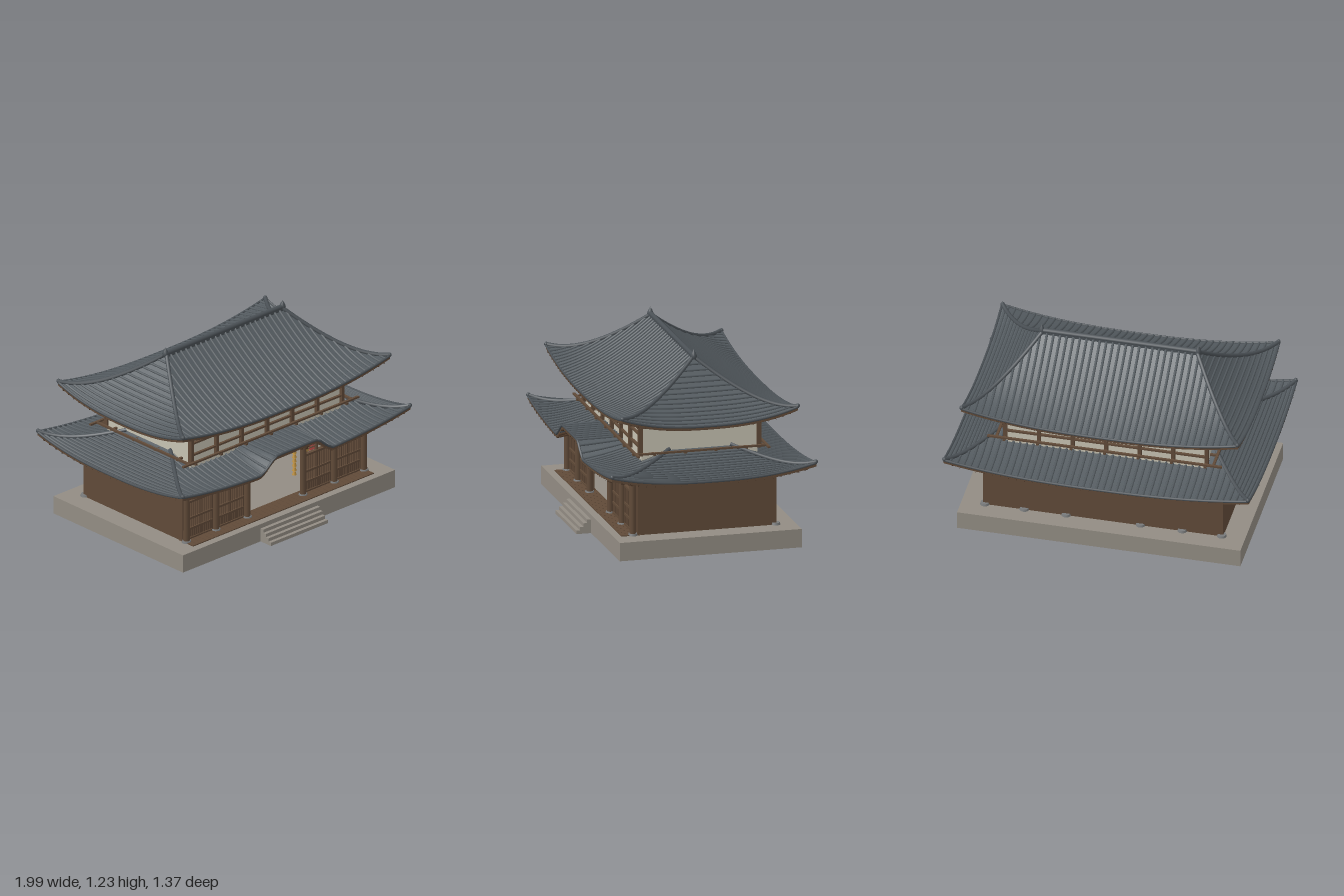
import * as THREE from 'three';
import { mergeGeometries } from 'three/addons/utils/BufferGeometryUtils.js';

const mat = (name, color, side = THREE.FrontSide) => {
  const m = new THREE.MeshStandardMaterial({ color, side });
  m.name = name;
  return m;
};
const V = (x, y, z) => new THREE.Vector3(x, y, z);

export function createModel() {
  const wood = mat('wood', 0x604a38, THREE.DoubleSide);
  const darkWood = mat('dark wood', 0x523c2b);
  const tile = mat('roof tile', 0x545b60, THREE.DoubleSide);
  const ridgeTile = mat('ridge tile', 0x4a5055);
  const plaster = mat('plaster', 0xc6c2b2);
  const stone = mat('stone', 0x928c83);
  const gold = mat('gold', 0xbd8f3c);
  const red = mat('red cloth', 0xcc5550);
  const ochre = mat('ochre cloth', 0xb08a4a);
  const grey = mat('grey stone', 0x77797a);

  const model = new THREE.Group();
  const add = (name, geo, m, parent = model) => {
    const mesh = new THREE.Mesh(geo, m);
    mesh.name = name;
    parent.add(mesh);
    return mesh;
  };
  // box from its limits in x, y and z
  const boxGeo = (x0, x1, y0, y1, z0, z1) =>
    new THREE.BoxGeometry(x1 - x0, y1 - y0, z1 - z0).translate((x0 + x1) / 2, (y0 + y1) / 2, (z0 + z1) / 2);
  const box = (name, m, ...b) => add(name, boxGeo(...b), m);
  const tube = (pts, r, segs = 10, sides = 6) =>
    new THREE.TubeGeometry(new THREE.CatmullRomCurve3(pts), segs, r, sides);
  const steps = (n, f) => Array.from({ length: n + 1 }, (_, i) => f(i / n));

  // sheet swept by f(u, v), u and v from 0 to 1
  const sheet = (f, nu, nv) => {
    const pos = [], idx = [];
    for (let j = 0; j <= nv; j++) for (let i = 0; i <= nu; i++) {
      pos.push(...f(i / nu, j / nv).toArray());
      if (i < nu && j < nv) {
        const a = j * (nu + 1) + i, b = a + nu + 1;
        idx.push(a, b, a + 1, b, b + 1, a + 1);
      }
    }
    const g = new THREE.BufferGeometry();
    g.setAttribute('position', new THREE.Float32BufferAttribute(pos, 3));
    g.setIndex(idx);
    g.computeVertexNormals();
    return g;
  };

  // curved hip roof; t runs from the top (0) to the eave (1), u along the eave (-1 to 1)
  const hipRoof = (name, { w0, w1, d0, d1, y0, y1, lift, gable }) => {
    const roof = new THREE.Group();
    roof.name = name;
    roof.position.z = -0.008;
    model.add(roof);
    const W = t => w0 + (w1 - w0) * t, D = t => d0 + (d1 - d0) * t;
    const at = (side, u, t, dy = 0) => {
      let y = y0 - (y0 - y1) * (1.4 * t - 0.4 * t * t) + lift * Math.abs(u) ** 2.5 * t ** 4;
      if (side === 0 && gable) {
        const k = 1 - THREE.MathUtils.smoothstep(Math.abs(u * W(t)), 0.16, 0.32);
        y += Math.max(0, gable - y) * k;
      }
      y += dy;
      return [V(u * W(t), y, D(t)), V(W(t), y, -u * D(t)), V(-u * W(t), y, -D(t)), V(-W(t), y, u * D(t))][side];
    };
    const ribs = [], rafters = [], hips = [];
    for (let s = 0; s < 4; s++) {
      add('roofSlope', sheet((u, v) => at(s, 2 * u - 1, v), 64, 14), tile, roof);
      add('eaveBoard', sheet((u, v) => at(s, 2 * u - 1, 0.997, -0.022 * v), 64, 1), wood, roof);
      add('eaveRoll', tube(steps(32, k => at(s, 2 * k - 1, 1, 0.002)), 0.008, 48, 6), ridgeTile, roof);
      if (s % 2 === 0) {
        // tile rolls running down the long slopes
        const n = Math.round(w1 / 0.043);
        for (let i = -n + 1; i < n; i++) {
          const x = i * w1 / n, t0 = Math.max(0, (Math.abs(x) - w0) / (w1 - w0));
          ribs.push(tube(steps(8, k => {
            const t = t0 + (1 - t0) * k;
            return at(s, x / W(t), t, 0.003);
          }), 0.0085, 10, 6));
        }
      } else {
        // tile courses along the short slopes
        for (let i = 1; i < 14; i++)
          ribs.push(tube(steps(14, k => at(s, 2 * k - 1, i / 14, 0.002)), 0.008, 18, 5));
      }
      // rafters under the eave
      const m = s % 2 ? 24 : 38;
      for (let i = 1; i < m; i++) {
        const u = 2 * i / m - 1;
        rafters.push(tube(steps(3, k => at(s, u, 0.72 + 0.28 * k, -0.02)), 0.008, 3, 4));
      }
      hips.push(tube(steps(12, k => at(s, 1, k, 0.008)), 0.013, 20, 8));
      const tip = at(s, 1, 1, 0.008);
      hips.push(new THREE.SphereGeometry(0.014, 8, 6).translate(tip.x * 0.995, tip.y, tip.z * 0.995));
    }
    add('tileRolls', mergeGeometries(ribs), tile, roof);
    add('rafters', mergeGeometries(rafters), darkWood, roof);
    add('hipRidges', mergeGeometries(hips), ridgeTile, roof);
    return roof;
  };

  hipRoof('lowerRoof', { w0: 0.65, w1: 0.985, d0: 0.2, d1: 0.668, y0: 0.625, y1: 0.495, lift: 0.07, gable: 0.595 });
  const upper = hipRoof('upperRoof', { w0: 0.5, w1: 0.895, d0: 0.005, d1: 0.575, y0: 1.17, y1: 0.832, lift: 0.082 });

  // top ridge with leaf-shaped end ornaments
  add('mainRidge', boxGeo(-0.5, 0.5, 1.15, 1.19, -0.014, 0.014), ridgeTile, upper);
  add('ridgeRoll', new THREE.CylinderGeometry(0.016, 0.016, 1, 10).rotateZ(Math.PI / 2).translate(0, 1.186, 0), ridgeTile, upper);
  const leaf = [[0, 0], [0.018, 0.005], [0.021, 0.025], [0.014, 0.045], [0, 0.068]].map(p => new THREE.Vector2(...p));
  for (const s of [-1, 1])
    add('ridgeOrnament', new THREE.LatheGeometry(leaf, 12).translate(s * 0.505, 1.16, 0), ridgeTile, upper);

  // platform, steps and front deck
  box('platform', stone, -0.915, 0.915, 0, 0.12, -0.6, 0.59);
  for (let i = 0; i < 4; i++)
    box('step', stone, -0.245, 0.245, i * 0.0225, 0.0225 * (i + 1), 0.59, 0.685 - i * 0.0235);
  for (let i = 0; i < 40; i++)
    box('deckPlank', wood, -0.78 + i * 0.039, -0.743 + i * 0.039, 0.12, 0.126, 0.41, 0.54);

  // hall walls with a plaster band on top
  for (const [m, y0, y1] of [[wood, 0.12, 0.465], [plaster, 0.465, 0.53]]) {
    for (const s of [-1, 1])
      add('sideWall', boxGeo(-0.01, 0.01, y0, y1, -0.472, 0.436).translate(s * 0.765, 0, 0), m);
    box('backWall', m, -0.775, 0.775, y0, y1, -0.474, -0.454);
  }
  box('frontPlaster', plaster, -0.765, 0.765, 0.475, 0.51, 0.432, 0.442);
  box('frontBeam', wood, -0.785, 0.785, 0.465, 0.482, 0.436, 0.47);
  const g = new THREE.Shape([[-0.27, 0.5], [0.27, 0.5], [0.17, 0.58], [-0.17, 0.58]].map(p => new THREE.Vector2(...p)));
  add('gablePanel', new THREE.ExtrudeGeometry(g, { depth: 0.01, bevelEnabled: false }).translate(0, 0, 0.435), plaster);
  box('plaque', wood, -0.12, 0.12, 0.48, 0.578, 0.5, 0.52);

  // columns, base stones and stacked brackets
  for (const x of [-0.765, -0.51, -0.24, 0.24, 0.51, 0.765]) {
    add('column', new THREE.CylinderGeometry(0.02, 0.021, 0.35, 14).translate(x, 0.295, 0.463), wood);
    for (const [z, s] of [[0.463, 1], [-0.47, -1]]) {
      add('baseStone', new THREE.CylinderGeometry(0.027, 0.031, 0.014, 14).translate(x, 0.127, z), grey);
      for (let k = 0; k < 3; k++) {
        const w = 0.025 + k * 0.014, y = 0.448 + k * 0.018;
        add('bracket', boxGeo(-w, w, y, y + 0.012, -0.014, 0.014).translate(x, 0, z), darkWood);
        add('bracketArm', boxGeo(-0.012, 0.012, y + 0.004, y + 0.016, -w, w).translate(x, 0, z + s * 0.008), darkWood);
      }
    }
  }

  // lattice doors with cloth strips above, mirrored about the middle
  for (const s of [-1, 1]) for (const [inner, outer] of [[0.26, 0.49], [0.53, 0.745]]) {
    const part = (name, m, x0, x1, ...r) => box(name, m, Math.min(s * x0, s * x1), Math.max(s * x0, s * x1), ...r);
    part('doorBacking', darkWood, inner, outer, 0.12, 0.385, 0.424, 0.43);
    part('doorPanel', wood, inner, outer, 0.13, 0.185, 0.43, 0.446);
    for (const y of [0.122, 0.19, 0.262, 0.375, 0.463]) part('doorRail', wood, inner, outer, y, y + 0.014, 0.43, 0.455);
    for (const y of [0.412, 0.438]) part('transomRail', wood, inner, outer, y, y + 0.004, 0.43, 0.44);
    const w = outer - inner;
    for (let i = 0; i <= 12; i++) {
      const x = inner + w * i / 12, h = i % 6 ? 0.005 : 0.011;
      part('latticeBar', wood, x - h / 2, x + h / 2, 0.126, i % 6 ? 0.385 : 0.47, 0.43, 0.45);
    }
    [ochre, red, plaster, grey].forEach((m, i) => {
      const a = inner + w * (0.04 + [0, 0.27, 0.54, 0.8][i]);
      part('clothStrip', m, a, a + w * (i < 3 ? 0.25 : 0.15), 0.387, 0.47, 0.42, 0.426);
    });
  }

  // altar and seated statue
  box('altar', wood, -0.235, 0.235, 0.12, 0.2, -0.42, -0.13);
  const statue = new THREE.Group();
  statue.name = 'statue';
  statue.position.set(-0.005, 0, -0.27);
  model.add(statue);
  const blob = (name, x, y, z, a, b, c) => add(name, new THREE.SphereGeometry(1, 18, 12).scale(a, b, c).translate(x, y, z), gold, statue);
  add('pedestal', new THREE.CylinderGeometry(0.085, 0.11, 0.03, 8).translate(0, 0.215, 0), grey, statue);
  add('pedestalNeck', new THREE.CylinderGeometry(0.09, 0.07, 0.03, 8).translate(0, 0.245, 0), gold, statue);
  for (let k = 0; k < 2; k++) for (let i = 0; i < 14; i++) {
    const a = (i + k / 2) / 14 * Math.PI * 2;
    blob('lotusPetal', Math.sin(a) * 0.085, 0.272 + k * 0.025, Math.cos(a) * 0.085, 0.02, 0.02, 0.02);
  }
  add('lotusSeat', new THREE.CylinderGeometry(0.1, 0.085, 0.05, 20).translate(0, 0.287, 0), gold, statue);
  blob('foldedLegs', 0, 0.332, 0.01, 0.098, 0.028, 0.075);
  blob('torso', 0, 0.39, -0.01, 0.06, 0.075, 0.042);
  blob('head', 0, 0.485, 0, 0.034, 0.04, 0.034);
  for (const s of [-1, 1]) {
    add('arm', tube([V(s * 0.055, 0.435, -0.01), V(s * 0.078, 0.38, 0.005), V(s * 0.065, 0.35, 0.035), V(0, 0.35, 0.06)], 0.02, 14, 8), gold, statue);
    // hanging ornaments by the entrance
    for (let i = 0; i < 7; i++)
      add('hangingOrnament', new THREE.CylinderGeometry(0.008, 0.015, 0.024, 6).translate(s * 0.205, 0.27 + i * 0.03, 0.42), gold);
  }

  // upper storey with timber framing front and back
  box('upperWall', plaster, -0.65, 0.65, 0.56, 0.84, -0.385, 0.375);
  box('upperTopBeam', wood, -0.665, 0.665, 0.78, 0.835, -0.392, 0.382);
  for (const z of [0.382, -0.392]) {
    const s = Math.sign(z);
    for (let i = -3; i <= 3; i++) {
      const x = i * 0.2165;
      box('upperPost', wood, x - 0.012, x + 0.012, 0.6, 0.8, z - 0.014, z + 0.014);
      add('balconyJoist', boxGeo(x - 0.008, x + 0.008, 0.606, 0.62, -0.03, 0.03).translate(0, 0, z + s * 0.022), wood);
    }
    for (const y of [0.652, 0.732, 0.77]) box('upperRail', wood, -0.655, 0.655, y, y + 0.012, z - 0.01, z + 0.01);
    box('balconyBeam', wood, -0.757, 0.757, 0.618, 0.63, z + s * 0.04 - 0.008, z + s * 0.04 + 0.008);
  }
  for (const x of [-0.7, 0.7]) {
    box('balconySideBeam', wood, x - 0.008, x + 0.008, 0.618, 0.63, -0.435, 0.425);
    for (const z of [-0.3, -0.1, 0.1, 0.3])
      box('balconySideJoist', wood, Math.min(x, x * 0.9), Math.max(x, x * 0.9), 0.608, 0.62, z - 0.008, z + 0.008);
  }
  return model;
}
